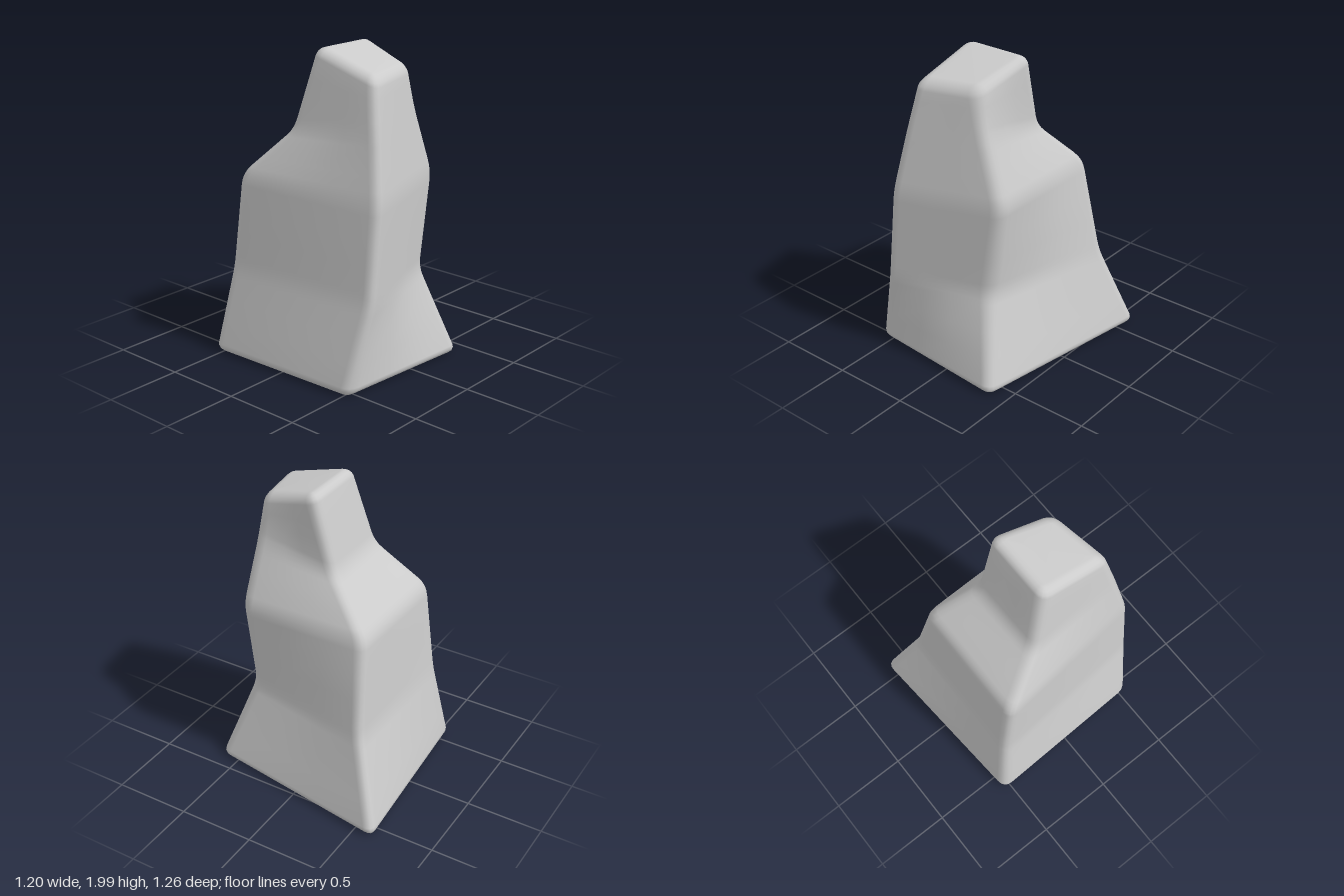
import * as THREE from 'three';

const RADIUS = 0.06;   // rounding of rims and vertical edges
const BEND = 0.07;     // softening of the bends along each corner edge
const ARC = 4;         // steps per rounding

// Corner edges from bottom to top: front right, front left, back left, back right
const CORNERS = [
  [[-0.585, 0, 0.555], [-0.445, 0.56, 0.625], [-0.385, 1.16, 0.62], [-0.325, 1.55, 0.55], [-0.27, 1.865, 0.485]],
  [[0.41, 0, 0.645], [0.255, 0.58, 0.445], [0.35, 1.2, 0.45], [0.215, 1.6, 0.425], [0.14, 1.885, 0.41]],
  [[0.62, 0, -0.655], [0.455, 0.58, -0.46], [0.335, 1.21, -0.41], [0.19, 1.5, -0.125], [0.215, 2.005, 0.01]],
  [[-0.62, 0, -0.558], [-0.525, 0.58, -0.475], [-0.5, 1.19, -0.41], [-0.345, 1.49, -0.115], [-0.26, 2.005, 0.01]],
].map(path => path.map(p => new THREE.Vector3(...p)));

const toward = (a, b, d) => b.clone().sub(a).normalize().multiplyScalar(d).add(a);
const bezier = (a, b, c, t) => new THREE.QuadraticBezierCurve3(a, b, c).getPoint(t);

// Samples one corner edge as a list of { point, inset }
function sampleEdge(path) {
  const out = [];
  const last = path.length - 1;
  for (let k = 0; k <= ARC; k++) {
    const a = (k / ARC) * Math.PI / 2;
    out.push({ point: toward(path[0], path[1], RADIUS * (1 - Math.cos(a))), inset: RADIUS * (1 - Math.sin(a)) });
  }
  const addWall = (to) => {
    const from = out[out.length - 1].point;
    for (let k = 1; k < 3; k++) out.push({ point: from.clone().lerp(to, k / 3), inset: 0 });
  };
  for (let i = 1; i < last; i++) {
    const start = toward(path[i], path[i - 1], BEND);
    const end = toward(path[i], path[i + 1], BEND);
    addWall(start);
    for (let k = 0; k <= ARC; k++) out.push({ point: bezier(start, path[i], end, k / ARC), inset: 0 });
  }
  addWall(toward(path[last], path[last - 1], RADIUS));
  for (let k = ARC; k >= 0; k--) {
    const a = (k / ARC) * Math.PI / 2;
    out.push({ point: toward(path[last], path[last - 1], RADIUS * (1 - Math.cos(a))), inset: RADIUS * (1 - Math.sin(a)) });
  }
  return out;
}

// Rounded four-sided ring through four corner points, shrunk by inset
function makeRing(corners, inset) {
  const shrunk = corners.map((p, i) => {
    const e1 = corners[(i + 3) % 4].clone().sub(p).normalize();
    const e2 = corners[(i + 1) % 4].clone().sub(p).normalize();
    return e1.clone().add(e2).multiplyScalar(inset / e1.angleTo(e2 ) ** 0 / Math.sin(e1.angleTo(e2))).add(p);
  });
  const r = RADIUS - inset + 0.012;
  const ring = [];
  shrunk.forEach((p, i) => {
    const next = shrunk[(i + 1) % 4];
    const start = toward(p, shrunk[(i + 3) % 4], r);
    const end = toward(p, next, r);
    for (let k = 0; k <= ARC; k++) ring.push(bezier(start, p, end, k / ARC));
    const nextStart = toward(next, p, r);
    for (let k = 1; k < 3; k++) ring.push(end.clone().lerp(nextStart, k / 3));
  });
  return ring;
}

export function createModel() {
  const edges = CORNERS.map(sampleEdge);
  const rings = edges[0].map((s, j) => makeRing(edges.map(e => e[j].point), s.inset));
  const n = rings[0].length;
  const points = rings.flat();
  const index = [];

  // Walls
  for (let j = 0; j < rings.length - 1; j++) {
    for (let i = 0; i < n; i++) {
      const a = j * n + i, b = j * n + (i + 1) % n;
      index.push(a, b, b + n, a, b + n, a + n);
    }
  }

  // Flat base and sloping top
  const addCap = (j, up) => {
    const center = new THREE.Vector3();
    rings[j].forEach(p => center.addScaledVector(p, 1 / n));
    const c = points.push(center) - 1;
    for (let i = 0; i < n; i++) {
      const a = j * n + i, b = j * n + (i + 1) % n;
      if (up) index.push(a, b, c);
      else index.push(b, a, c);
    }
  };
  addCap(0, false);
  addCap(rings.length - 1, true);

  const geometry = new THREE.BufferGeometry().setFromPoints(points);
  geometry.setIndex(index);
  geometry.computeVertexNormals();

  const rock = new THREE.Mesh(geometry, new THREE.MeshStandardMaterial({ color: 0xcccccc }));
  rock.name = 'rockPillar';
  const group = new THREE.Group();
  group.name = 'rock';
  group.add(rock);
  return group;
}
